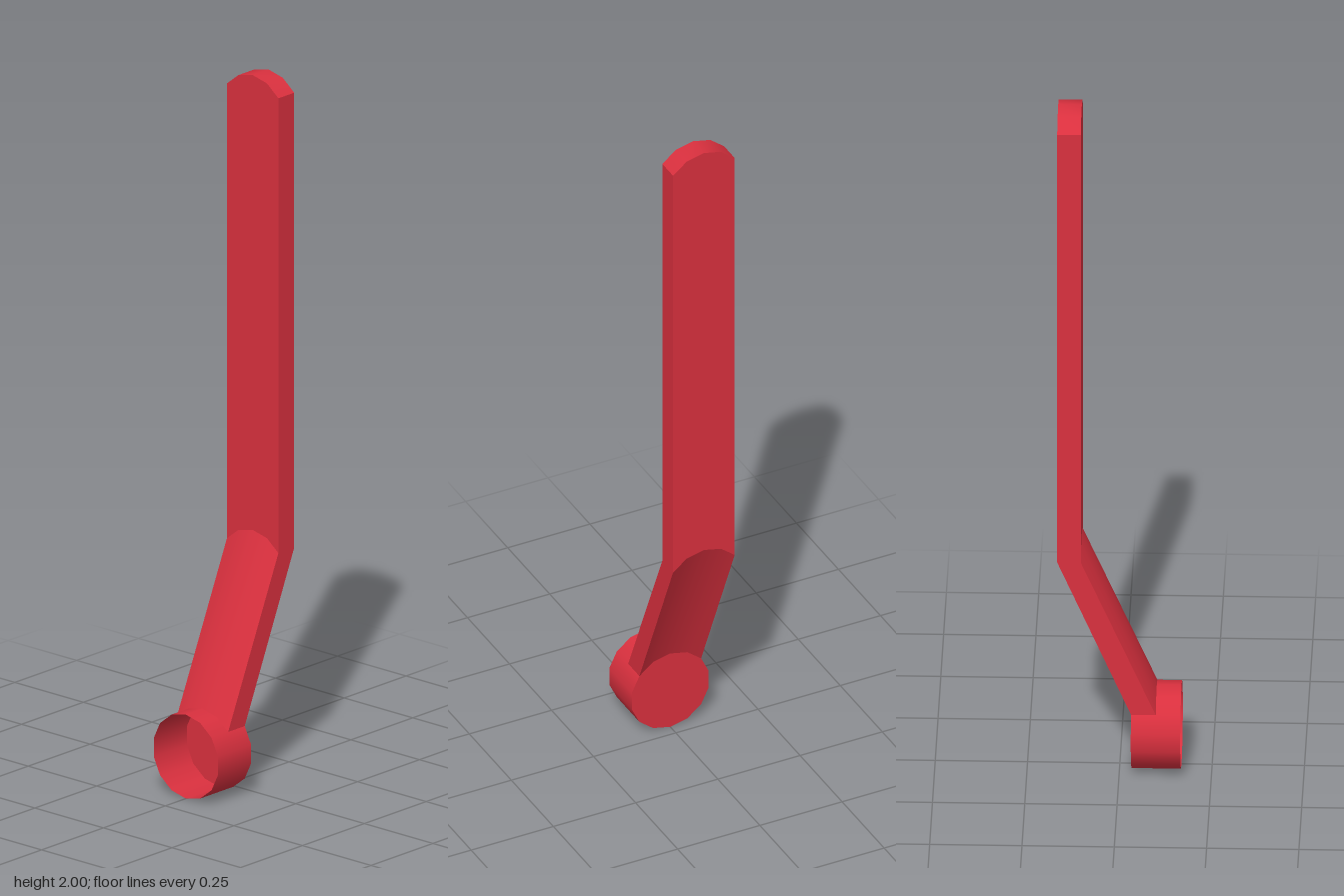
import * as THREE from 'three';

const R = 0.12;                 // hub radius, also the radius of the arched bar ends
const SIDES = 14;
const STEP = (Math.PI * 2) / SIDES;
const red = new THREE.MeshStandardMaterial({ color: 0xd9303e, side: THREE.DoubleSide });

// Bar section whose ends follow four sides of the hub's rim.
// from / to: [height of arc centre, back z, front z]
function barSection(name, from, to, capTop) {
  const geo = new THREE.BoxGeometry(4, 1, 1, 4, 1, 1);
  const pos = geo.attributes.position;
  for (let i = 0; i < pos.count; i++) {
    const angle = Math.round(pos.getX(i)) * STEP;
    const [y, back, front] = pos.getY(i) > 0 ? to : from;
    const z = pos.getZ(i) > 0 ? front : back;
    pos.setXYZ(i, R * Math.sin(angle), y + R * Math.cos(angle), z);
  }
  // leave out the end faces hidden inside the joints (groups: +x -x +y -y +z -z)
  const index = [];
  geo.groups.forEach((g, side) => {
    if (side === 3 || (side === 2 && !capTop)) return;
    for (let k = g.start; k < g.start + g.count; k++) index.push(geo.index.getX(k));
  });
  geo.clearGroups();
  geo.setIndex(index);
  geo.computeVertexNormals();
  const mesh = new THREE.Mesh(geo, red);
  mesh.name = name;
  return mesh;
}

export function createModel() {
  const model = new THREE.Group();
  model.name = 'crankedLever';

  // Bar: slanted neck rising from the hub, then the straight handle
  const foot = [R, 0.033, 0.1];
  const bend = [0.58, -0.167, -0.103];
  const tip = [1.88, -0.167, -0.103];
  model.add(barSection('neck', foot, bend, false));
  model.add(barSection('handle', bend, tip, true));

  // Hub: thin cup, open to the front and closed at the back
  const hub = new THREE.Group();
  hub.name = 'hub';
  const wall = new THREE.Mesh(
    new THREE.CylinderGeometry(R, R, 0.134, SIDES, 1, true).rotateX(Math.PI / 2), red);
  wall.name = 'hubWall';
  wall.position.set(0, R, 0.1);
  const back = new THREE.Mesh(
    new THREE.CircleGeometry(R, SIDES, Math.PI / 2).rotateY(Math.PI), red);
  back.name = 'hubBack';
  back.position.set(0, R, 0.033);
  hub.add(wall, back);
  model.add(hub);

  return model;
}
